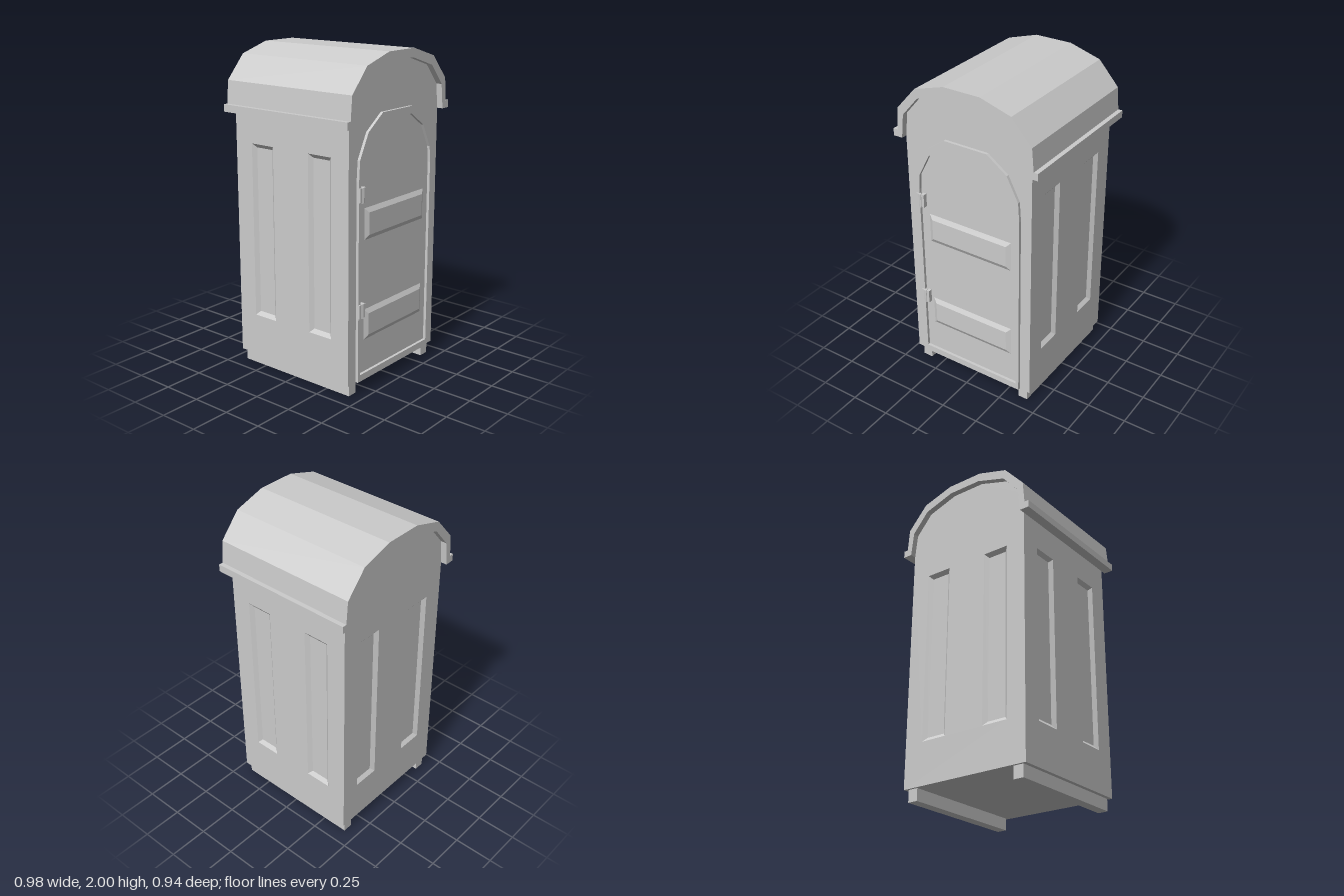
import * as THREE from 'three';

const W = 0.43, D = 0.432, BASE = 0.075, EAVE = 1.61;
const material = new THREE.MeshStandardMaterial({ color: 0xcccccc, flatShading: true, side: THREE.DoubleSide });

function part(name, geometry, parent, x = 0, y = 0, z = 0) {
  const mesh = new THREE.Mesh(geometry, material);
  mesh.name = name;
  mesh.position.set(x, y, z);
  parent.add(mesh);
  return mesh;
}

// Left-right symmetric outline from its right half, listed bottom to top
function mirrored(half) {
  const left = half.map(([x, y]) => [-x, y]).reverse();
  return [...half, ...left].map(([x, y]) => new THREE.Vector2(x, y));
}

function rectangle(cx, cy, w, h) {
  return [[-1, -1], [1, -1], [1, 1], [-1, 1]].map(([a, b]) => new THREE.Vector2(cx + a * w / 2, cy + b * h / 2));
}

// Bevelled panel facing +z: positive depth is raised, negative is recessed
function panelGeometry(w, h, bevel, depth) {
  const outer = rectangle(0, 0, w, h), inner = rectangle(0, 0, w - 2 * bevel, h - 2 * bevel);
  const pos = [];
  const quad = (...c) => [0, 1, 2, 0, 2, 3].forEach(i => pos.push(...c[i]));
  const o = i => [outer[i % 4].x, outer[i % 4].y, 0];
  const n = i => [inner[i % 4].x, inner[i % 4].y, depth];
  for (let i = 0; i < 4; i++) quad(o(i), o(i + 1), n(i + 1), n(i));
  quad(n(0), n(1), n(2), n(3));
  const geometry = new THREE.BufferGeometry();
  geometry.setAttribute('position', new THREE.Float32BufferAttribute(pos, 3));
  geometry.computeVertexNormals();
  return geometry;
}

// Wall with two tall recessed panels
function panelledWall(name, outline, parent) {
  const wall = new THREE.Group();
  wall.name = name;
  const shape = new THREE.Shape(outline);
  const w = 0.17, h = 1.09, cy = 0.885;
  for (const cx of [-0.22, 0.22]) {
    shape.holes.push(new THREE.Path(rectangle(cx, cy, w, h)));
    part('recessedPanel', panelGeometry(w, h, 0.024, -0.02), wall, cx, cy);
  }
  part('wallSurface', new THREE.ShapeGeometry(shape), wall);
  parent.add(wall);
  return wall;
}

export function createModel() {
  const model = new THREE.Group();
  model.name = 'portableCabin';

  // Walls and floor
  const vault = [[W, EAVE], [0.413, 1.76], [0.305, 1.885], [0.11, 1.947]];
  const gable = mirrored([[W, BASE], ...vault]);
  part('frontWall', new THREE.ShapeGeometry(new THREE.Shape(gable)), model, 0, 0, D);
  const back = panelledWall('backWall', gable, model);
  back.position.z = -D;
  back.rotation.y = Math.PI;
  for (const s of [-1, 1]) {
    const side = panelledWall(s > 0 ? 'leftWall' : 'rightWall',
      rectangle(0, (BASE + EAVE) / 2, 2 * D, EAVE - BASE), model);
    side.position.x = s * W;
    side.rotation.y = s * Math.PI / 2;
  }
  part('floor', new THREE.PlaneGeometry(2 * W, 2 * D), model, 0, BASE).rotation.x = Math.PI / 2;

  // Faceted barrel roof with small eave lips
  const roofShape = new THREE.Shape([
    ...mirrored([[0.49, EAVE], [0.49, 1.655], [0.462, 1.655], [0.45, 1.795], [0.32, 1.94], [0.12, 2]]),
    ...mirrored(vault).reverse(),
  ]);
  part('roof', new THREE.ExtrudeGeometry(roofShape, { depth: 0.94, bevelEnabled: false }), model, 0, 0, -0.47);

  // Arched door frame
  const frame = new THREE.Shape(mirrored([[0.36, 0.08], [0.36, 1.3], [0.352, 1.42], [0.277, 1.567], [0.145, 1.662]]));
  frame.holes.push(new THREE.Path(
    mirrored([[0.341, 0.122], [0.341, 1.29], [0.332, 1.39], [0.258, 1.533], [0.133, 1.617]])));
  part('doorFrame', new THREE.ExtrudeGeometry(frame, { depth: 0.018, bevelEnabled: false }), model, 0, 0, D);

  // Raised door panels
  for (const y of [0.42, 1.035]) {
    part('doorPanel', panelGeometry(0.58, 0.19, 0.028, 0.015), model, 0.004, y, D);
  }

  // Hinges: two leaves around a barrel
  for (const y of [0.525, 1.22]) {
    const hinge = new THREE.Group();
    hinge.name = 'hinge';
    hinge.position.set(-0.332, y, D);
    for (const s of [-1, 1]) part('hingeLeaf', new THREE.BoxGeometry(0.02, 0.085, 0.026), hinge, s * 0.017, 0, 0.013);
    part('hingeBarrel', new THREE.CylinderGeometry(0.01, 0.01, 0.09, 8), hinge, 0, 0, 0.023);
    model.add(hinge);
  }

  // Skids
  for (const s of [-1, 1]) {
    part('skid', new THREE.BoxGeometry(0.065, BASE, 0.835), model, s * 0.372, BASE / 2, 0);
  }
  return model;
}
